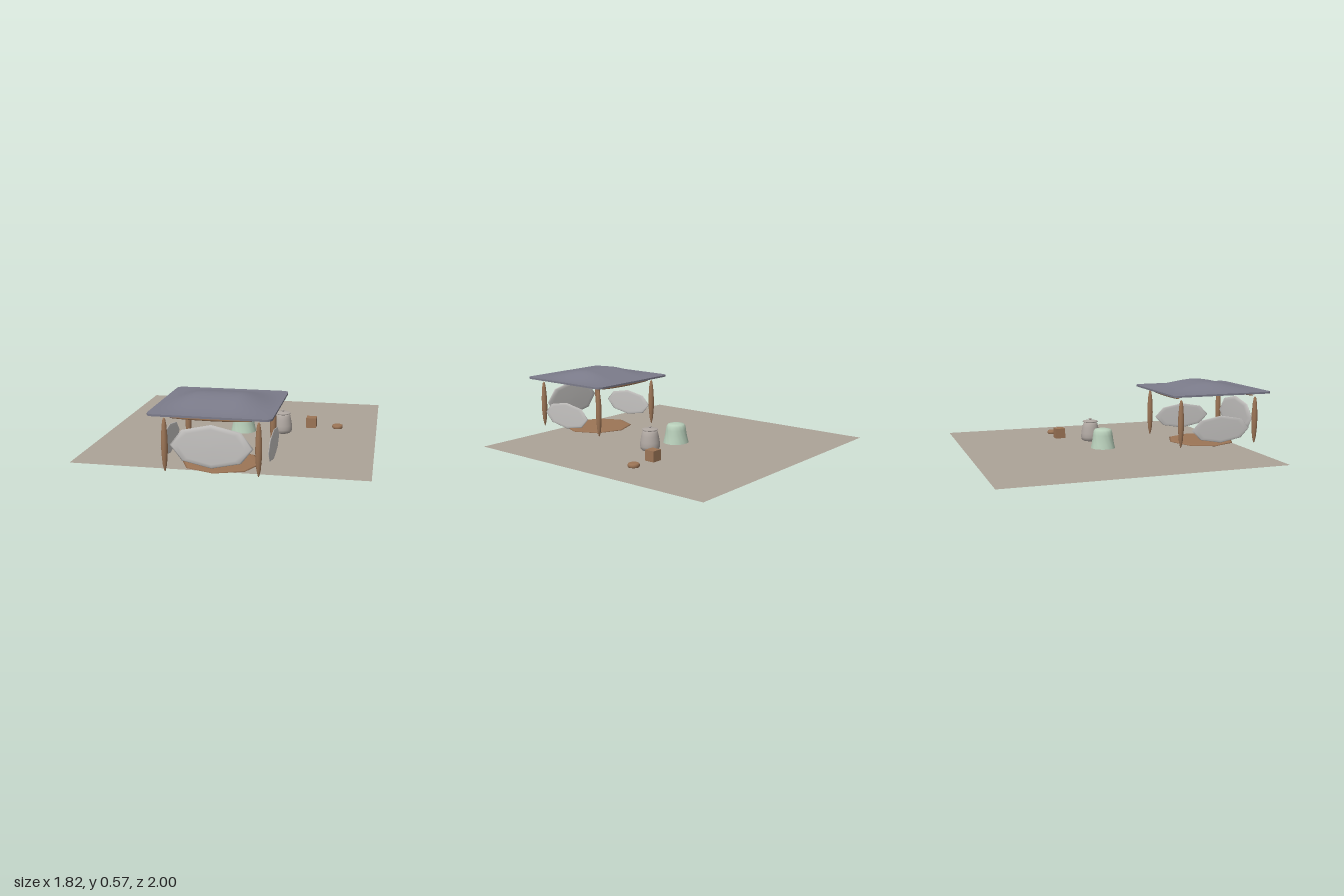
import * as THREE from 'three';

const mat = (name, color, side = THREE.FrontSide) => {
  const m = new THREE.MeshStandardMaterial({ color, side });
  m.name = name;
  return m;
};

export function createModel() {
  const model = new THREE.Group();
  model.name = 'campPavilion';
  const sand = mat('sand', 0xaca398, THREE.DoubleSide);
  const slate = mat('slate', 0x7b7b8a);
  const wood = mat('wood', 0x9c7556);
  const cloth = mat('paleCloth', 0xc6c4c2);
  const clay = mat('clay', 0xb0a8a2);
  const moss = mat('mossGreen', 0xb8cfba, THREE.DoubleSide);

  const add = (name, geometry, material, x, y, z) => {
    const mesh = new THREE.Mesh(geometry, material);
    mesh.name = name;
    mesh.position.set(x, y, z);
    model.add(mesh);
    return mesh;
  };
  const lathe = (pts, sides) => new THREE.LatheGeometry(pts.map(([r, y]) => new THREE.Vector2(r, y)), sides);
  const smoothstep = THREE.MathUtils.smoothstep;
  const GROUND = 0.146, CZ = 0.637; // ground height, pavilion centre

  // Ground sheet
  add('ground', new THREE.PlaneGeometry(1.815, 1.815).rotateX(-Math.PI / 2), sand, 0, GROUND, -0.093);

  // Roof: thin slab with rounded corners, raised to a soft ridge
  const roof = new THREE.BoxGeometry(0.72, 0.012, 0.72, 36, 1, 36);
  const p = roof.attributes.position;
  for (let i = 0; i < p.count; i++) {
    let x = p.getX(i), z = p.getZ(i);
    const dx = Math.abs(x) - 0.32, dz = Math.abs(z) - 0.32;
    if (dx > 0 && dz > 0) {
      const k = Math.max(dx, dz) / Math.hypot(dx, dz);
      x = Math.sign(x) * (0.32 + dx * k);
      z = Math.sign(z) * (0.32 + dz * k);
    }
    const rise = (1 - smoothstep(Math.abs(x), 0.11, 0.36)) * (1 - smoothstep(Math.abs(z), 0, 0.36));
    p.setXYZ(i, x, p.getY(i) + (p.getY(i) > 0 ? 0.053 * rise : 0), z);
  }
  roof.computeVertexNormals();
  add('roof', roof, slate, 0, 0.519, CZ);

  // Spindle-shaped posts and cross beams
  const spindle = (length, r) => lathe(
    [[0, -0.5], [0.25, -0.47], [0.65, -0.36], [0.95, -0.15], [1, 0], [0.95, 0.15], [0.7, 0.36], [0.4, 0.47], [0, 0.5]]
      .map(([a, b]) => [a * r, b * length]), 12);
  for (const z of [CZ - 0.272, CZ + 0.278]) {
    for (const x of [-0.275, 0.275]) add('post', spindle(0.325, 0.02), wood, x, 0.325, z);
    add('crossBeam', spindle(0.49, 0.011).rotateZ(Math.PI / 2), wood, 0, 0.49, z);
  }

  // Eight-sided lens shape for the floor and the wall panels
  const lens = (a, b, t) => lathe(
    [[0, -1], [0.8, -0.95], [0.95, -0.6], [1, 0], [0.95, 0.6], [0.8, 0.95], [0, 1]], 8).scale(a, t, b);
  add('floor', lens(0.25, 0.232, 0.006), wood, 0, 0.153, CZ + 0.003);
  add('frontPanel', lens(0.245, 0.13, 0.011).rotateX(Math.PI / 2), cloth, 0, 0.327, 0.913);
  for (const s of [-1, 1]) {
    add('sidePanel', lens(0.092, 0.212, 0.005).rotateZ(Math.PI / 2), cloth, s * 0.32, 0.282, CZ);
  }

  // Rough tapered stump, hollow underneath
  const stump = lathe([[0, 0.07], [0.06, 0.05], [0.1, 0.012], [0.115, 0.004], [0.112, 0.03], [0.103, 0.07], [0.095, 0.11],
    [0.087, 0.146], [0.08, 0.175], [0.074, 0.205], [0.07, 0.235], [0.066, 0.258], [0.056, 0.272], [0.03, 0.277], [0, 0.277]], 40);
  const q = stump.attributes.position;
  for (let i = 0; i < q.count; i++) {
    const x = q.getX(i), y = q.getY(i), z = q.getZ(i), a = Math.atan2(z, x);
    const k = 1 + 0.022 * Math.sin(a * 9 + y * 70) * Math.cos(a * 5 - y * 130);
    q.setXYZ(i, x * k, y, z * k * 0.95);
  }
  stump.computeVertexNormals();
  add('stump', stump, moss, 0, 0, -0.09);

  // Lidded pot
  const pot = lathe([[0, 0], [0.05, 0.001], [0.061, 0.01], [0.066, 0.028], [0.064, 0.055], [0.057, 0.095], [0.051, 0.12],
    [0.042, 0.132], [0, 0.134]], 28);
  add('pot', pot, clay, 0.273, GROUND + 0.001, -0.093);
  const lid = lathe([[0, 0], [0.048, 0], [0.054, 0.004], [0.05, 0.009], [0.02, 0.012], [0.007, 0.013], [0.006, 0.018],
    [0.011, 0.022], [0.008, 0.027], [0, 0.028]], 28);
  add('potLid', lid, clay, 0.273, 0.279, -0.093);

  // Wooden crate and small drum
  add('crate', new THREE.BoxGeometry(0.07, 0.07, 0.07), wood, 0.454, 0.181, -0.272);
  const drum = lathe([[0, 0], [0.03, 0], [0.034, 0.002], [0.037, 0.009], [0.037, 0.018], [0.034, 0.025], [0.03, 0.027], [0, 0.027]], 24);
  add('drum', drum, wood, 0.637, 0.143, -0.275);

  return model;
}
